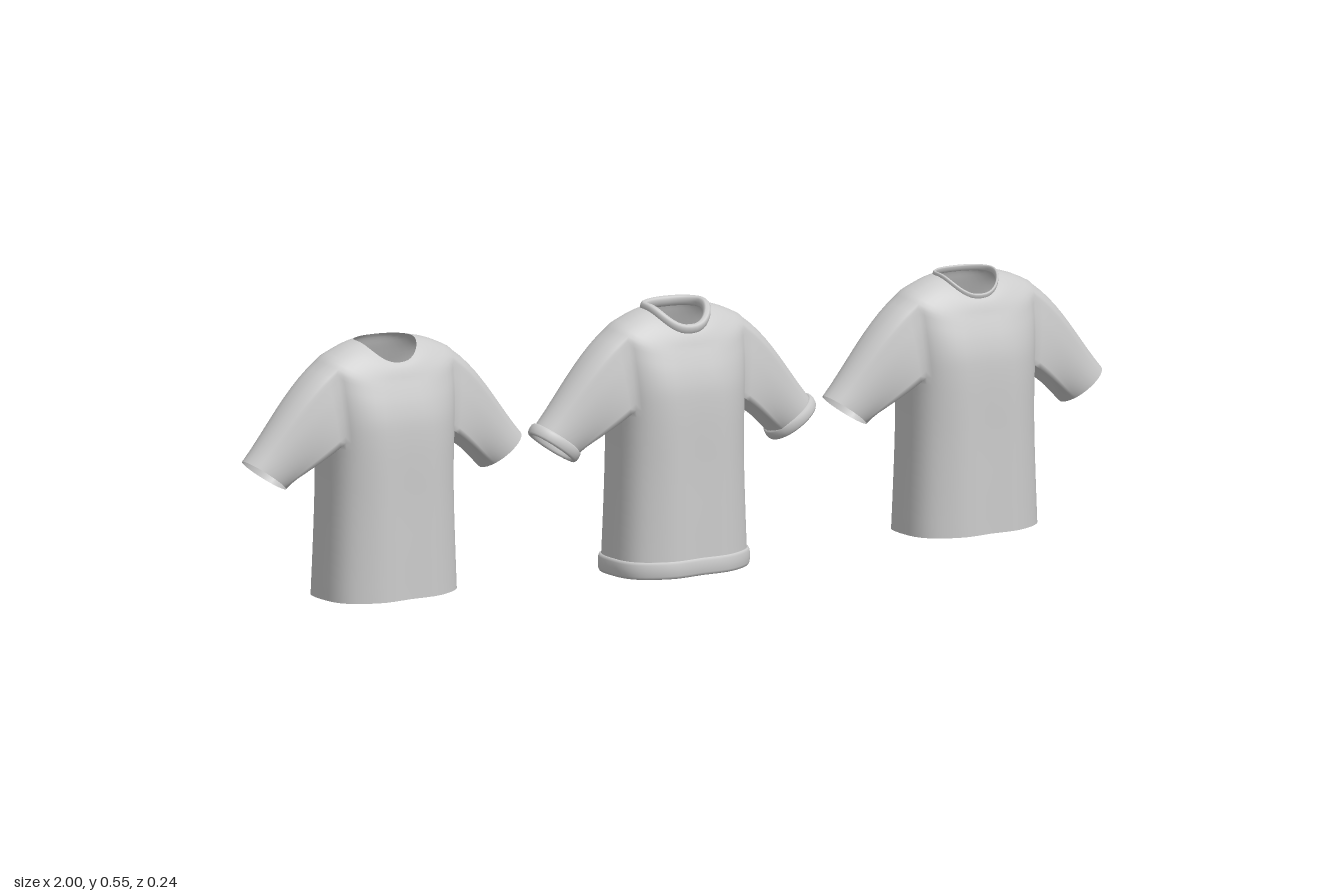
import * as THREE from 'three';

const COLS = 48, SUB = 3, HALF = 4;          // columns round the torso, steps per section, armhole half width
const R0 = 4 * SUB, R1 = 8 * SUB;            // armhole bottom and top rows
const SLEEVE_STEPS = 10;

// Torso sections: side y, half width, front y, front z, back y, back z, roundness
const SECTIONS = [
  [0.022, 0.145, 0.022, 0.112, 0.022, -0.106, 0.7],
  [0.12, 0.141, 0.12, 0.111, 0.12, -0.103, 0.7],
  [0.22, 0.138, 0.22, 0.11, 0.22, -0.1, 0.7],
  [0.30, 0.138, 0.30, 0.11, 0.30, -0.096, 0.7],
  [0.345, 0.14, 0.345, 0.109, 0.345, -0.093, 0.7],
  [0.385, 0.143, 0.383, 0.106, 0.385, -0.089, 0.7],
  [0.43, 0.147, 0.415, 0.099, 0.425, -0.082, 0.72],
  [0.47, 0.15, 0.442, 0.09, 0.458, -0.073, 0.75],
  [0.502, 0.15, 0.463, 0.082, 0.487, -0.061, 0.78],
  [0.521, 0.118, 0.477, 0.077, 0.511, -0.051, 0.8],
  [0.532, 0.088, 0.488, 0.072, 0.529, -0.044, 0.83],
  [0.537, 0.063, 0.497, 0.066, 0.538, -0.038, 0.85],
];

const V = (x, y, z) => new THREE.Vector3(x, y, z);
const spow = (v, p) => Math.sign(v) * Math.pow(Math.abs(v), p);
const material = new THREE.MeshStandardMaterial({ color: 0xcccccc, side: THREE.DoubleSide });

function sectionPoint([ys, a, yf, zf, yb, zb, p], j) {
  const th = (j / COLS) * Math.PI * 2, c = Math.cos(th), s = Math.sin(th);
  const x = a * spow(c, p);
  const y = THREE.MathUtils.lerp(ys, s > 0 ? yf : yb, s * s);
  let z = (s > 0 ? zf : -zb) * spow(s, p);
  // Soft vertical folds, deeper on the back, fading out towards the shoulders
  const fade = THREE.MathUtils.clamp((0.48 - y) / 0.25, 0, 1);
  z += (s > 0 ? -0.003 : 0.01) * Math.cos((Math.PI * x) / 0.06) * fade * s * s;
  return V(x, y + 0.025 * x * Math.max(0, 1 - y / 0.3), z);
}

function meshFrom(points, index, name) {
  const g = new THREE.BufferGeometry().setFromPoints(points);
  g.setIndex(index);
  g.computeVertexNormals();
  const m = new THREE.Mesh(g, material);
  m.name = name;
  return m;
}

function addQuad(index, a, b, c, d, flip) {
  if (flip) index.push(a, b, c, a, c, d);
  else index.push(a, d, c, a, c, b);
}

// One sheet: torso tube with two armholes, each continued into a sleeve
function buildBody() {
  const pts = [], index = [], cuffs = [];
  const rows = (SECTIONS.length - 1) * SUB;
  const columns = [];
  for (let j = 0; j < COLS; j++)
    columns.push(new THREE.CatmullRomCurve3(SECTIONS.map((s) => sectionPoint(s, j))));
  for (let r = 0; r <= rows; r++)
    for (let j = 0; j < COLS; j++) pts.push(columns[j].getPoint(r / rows));

  const id = (r, j) => r * COLS + ((j + COLS) % COLS);
  const inArmhole = (r, j) => r >= R0 && r < R1 &&
    (j < HALF || j >= COLS - HALF || (j >= COLS / 2 - HALF && j < COLS / 2 + HALF));
  for (let r = 0; r < rows; r++)
    for (let j = 0; j < COLS; j++)
      if (!inArmhole(r, j)) addQuad(index, id(r, j), id(r, j + 1), id(r + 1, j + 1), id(r + 1, j));

  // Armhole border as [row, column offset], walked once round
  const border = [];
  for (let c = -HALF; c < HALF; c++) border.push([R0, c]);
  for (let r = R0; r < R1; r++) border.push([r, HALF]);
  for (let c = HALF; c > -HALF; c--) border.push([R1, c]);
  for (let r = R1; r > R0; r--) border.push([r, -HALF]);

  for (const side of [1, -1]) {
    let prev = border.map(([r, c]) => id(r, side > 0 ? c : COLS / 2 - c));
    const start = prev.map((i) => pts[i].clone());
    const end = border.map(([r, c]) => {
      const ang = Math.atan2(((r - R0) / (R1 - R0)) * 2 - 1, c / HALF);
      const u = Math.sin(ang);
      return V(side * (0.275 + 0.045 * u), 0.282 + 0.032 * u, -0.005 + 0.042 * Math.cos(ang));
    });
    for (let k = 1; k <= SLEEVE_STEPS; k++) {
      const t = k / SLEEVE_STEPS, t2 = t * t, t3 = t2 * t;
      const ring = start.map((p, i) => {
        const d = end[i].clone().sub(p), len = d.length();
        const out = V(side * 0.82, -0.57, 0).multiplyScalar(len);
        return p.clone().multiplyScalar(2 * t3 - 3 * t2 + 1)
          .addScaledVector(out, t3 - 2 * t2 + t)
          .addScaledVector(end[i], 3 * t2 - 2 * t3)
          .addScaledVector(d, t3 - t2);
      });
      const next = ring.map((p) => pts.push(p) - 1);
      next.forEach((_, i) => {
        const n = (i + 1) % next.length;
        addQuad(index, prev[i], prev[n], next[n], next[i], side < 0);
      });
      prev = next;
    }
    cuffs.push(end);
  }
  const hem = pts.slice(0, COLS), neck = pts.slice(rows * COLS, (rows + 1) * COLS);
  return { pts, index, cuffs, hem, neck };
}

// Rounded band along an edge loop: width w along the axis, thickness t outwards
function buildBand(loop, axis, w, t, name) {
  const n = 10, pts = [], index = [], L = loop.length;
  const centre = loop.reduce((s, p) => s.add(p), V(0, 0, 0)).divideScalar(L);
  axis = axis.clone().normalize();
  loop.forEach((p) => {
    const out = p.clone().sub(centre).projectOnPlane(axis).normalize();
    for (let k = 0; k < n; k++) {
      const a = (k / n) * Math.PI * 2;
      pts.push(p.clone().addScaledVector(out, t * spow(Math.cos(a), 0.7)).addScaledVector(axis, w * spow(Math.sin(a), 0.8)));
    }
  });
  const e1 = loop[0].clone().sub(centre), e2 = loop[1].clone().sub(centre);
  const flip = e1.cross(e2).dot(axis) > 0;
  for (let i = 0; i < L; i++)
    for (let k = 0; k < n; k++) {
      const i2 = (i + 1) % L, k2 = (k + 1) % n;
      addQuad(index, i * n + k, i2 * n + k, i2 * n + k2, i * n + k2, flip);
    }
  return meshFrom(pts, index, name);
}

export function createModel() {
  const model = new THREE.Group();
  model.name = 'shirts';
  const neckAxis = V(0, 0.92, 0.38);
  const shirts = [
    { name: 'plainShirt', x: -0.678 },
    { name: 'bandedShirt', x: 0, collar: [0.011, 0.008], cuff: [0.012, 0.006], hem: [0.018, 0.006] },
    { name: 'ribNeckShirt', x: 0.678, collar: [0.007, 0.003] },
  ];
  for (const s of shirts) {
    const shirt = new THREE.Group();
    shirt.name = s.name;
    shirt.position.x = s.x;
    const b = buildBody();
    shirt.add(meshFrom(b.pts, b.index, 'bodyAndSleeves'));
    if (s.collar) shirt.add(buildBand(b.neck, neckAxis, ...s.collar, 'collar'));
    if (s.hem) shirt.add(buildBand(b.hem, V(0, 1, 0), ...s.hem, 'hemBand'));
    if (s.cuff)
      b.cuffs.forEach((loop, i) =>
        shirt.add(buildBand(loop, V(i ? -0.58 : 0.58, -0.82, 0), ...s.cuff, i ? 'rightCuff' : 'leftCuff')));
    model.add(shirt);
  }
  return model;
}
